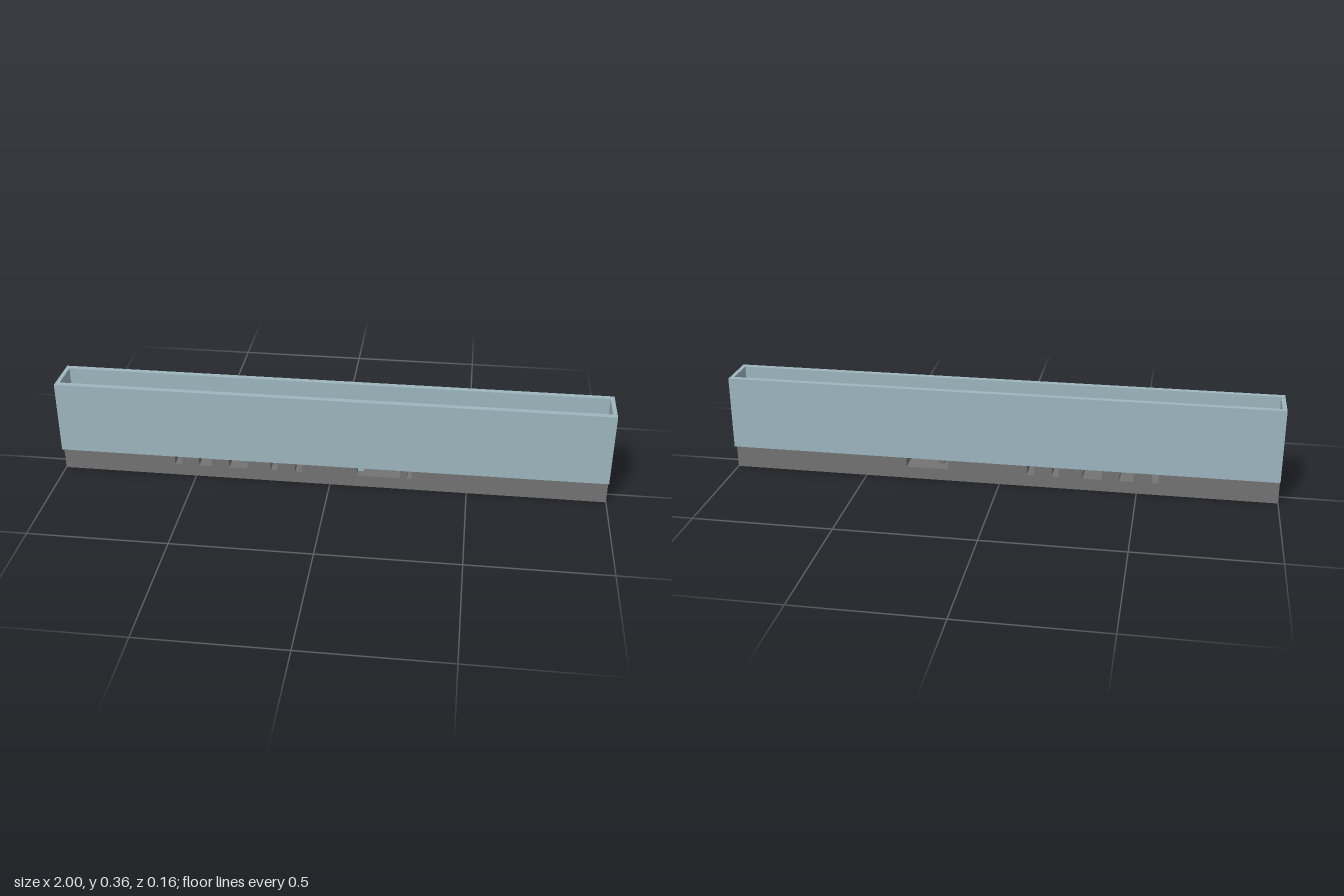
import * as THREE from 'three';

export function createModel() {
  const model = new THREE.Group();
  const blue = new THREE.MeshStandardMaterial({ name: 'pale blue', color: 0x9db6bf });
  const grey = new THREE.MeshStandardMaterial({ name: 'stone grey', color: 0x737373 });
  const ochre = new THREE.MeshStandardMaterial({ name: 'ochre', color: 0x8c6c32 });

  const HALF = 0.056;   // half depth of the base
  const FLOOR = 0.09;   // top of the base
  const PIT = 0.045;    // floor of the slots

  // box given by its minimum and maximum on each axis
  function block(name, mat, x0, x1, y0, y1, z0, z1) {
    const mesh = new THREE.Mesh(new THREE.BoxGeometry(x1 - x0, y1 - y0, z1 - z0), mat);
    mesh.position.set((x0 + x1) / 2, (y0 + y1) / 2, (z0 + z1) / 2);
    mesh.name = name;
    model.add(mesh);
  }

  // base with slots cut across its top
  const slots = [[-0.578, -0.551], [-0.487, -0.438], [-0.374, -0.305],
    [-0.219, -0.193], [-0.128, -0.102], [0.1, 0.347]];
  const profile = new THREE.Shape();
  profile.moveTo(1, 0);
  profile.lineTo(1, FLOOR);
  for (const [a, b] of [...slots].reverse()) {
    profile.lineTo(b, FLOOR);
    profile.lineTo(b, PIT);
    profile.lineTo(a, PIT);
    profile.lineTo(a, FLOOR);
  }
  profile.lineTo(-1, FLOOR);
  profile.lineTo(-1, 0);
  const baseGeo = new THREE.ExtrudeGeometry(profile, { depth: 2 * HALF, bevelEnabled: false });
  baseGeo.translate(0, 0, -HALF);
  const base = new THREE.Mesh(baseGeo, grey);
  base.name = 'slottedBase';
  model.add(base);

  // walls and posts left standing in the wide pocket
  block('pocketBackWall', grey, 0.1, 0.19, PIT, FLOOR, -HALF, -0.04);
  block('pocketFrontWall', grey, 0.3, 0.347, PIT, FLOOR, 0.03, HALF);
  block('pocketFrontPost', grey, 0.257, 0.283, PIT, FLOOR, 0.03, HALF);
  block('pocketCentrePost', grey, 0.214, 0.235, PIT, FLOOR, -0.01, 0.01);

  // tall open frame standing on the base
  const outline = (x, z, Type) => new Type([
    new THREE.Vector2(-x, -z), new THREE.Vector2(x, -z),
    new THREE.Vector2(x, z), new THREE.Vector2(-x, z)]);
  const frameShape = outline(1, 0.078, THREE.Shape);
  frameShape.holes.push(outline(0.985, 0.057, THREE.Path));
  const frameGeo = new THREE.ExtrudeGeometry(frameShape, { depth: 0.27, bevelEnabled: false });
  frameGeo.rotateX(-Math.PI / 2);
  frameGeo.translate(0, FLOOR, 0);
  const frame = new THREE.Mesh(frameGeo, blue);
  frame.name = 'openFrame';
  model.add(frame);

  // row of planks across the floor
  for (let i = 0; i < 6; i++) {
    const x = 0.412 + i * 0.0235;
    block('plank', ochre, x, x + 0.0225, FLOOR, FLOOR + 0.008, -HALF, HALF);
  }

  // low staircase and raised blocks inside the frame
  for (let i = 0; i < 5; i++) {
    const x = 0.594 + i * 0.0224;
    block('stair', grey, x, x + 0.0224, FLOOR, FLOOR + 0.01 * (i + 1), -HALF, HALF);
  }
  block('raisedBlock', grey, 0.775, 0.82, FLOOR, FLOOR + 0.03, -HALF, HALF);
  block('endBlock', grey, 0.952, 0.985, FLOOR, FLOOR + 0.03, -HALF, HALF);

  // small fittings
  block('blueTab', blue, 0.098, 0.122, PIT, FLOOR + 0.01, -0.028, 0.022);
  block('bluePeg', blue, 0.843, 0.865, FLOOR, FLOOR + 0.03, -0.011, 0.011);
  block('pegArm', ochre, 0.755, 0.775, FLOOR, FLOOR + 0.03, -0.008, 0.008);
  block('pegArm', ochre, 0.82, 0.843, FLOOR, FLOOR + 0.03, -0.006, 0.006);
  block('pegFoot', ochre, 0.865, 0.89, FLOOR, FLOOR + 0.02, 0.004, 0.032);

  return model;
}
